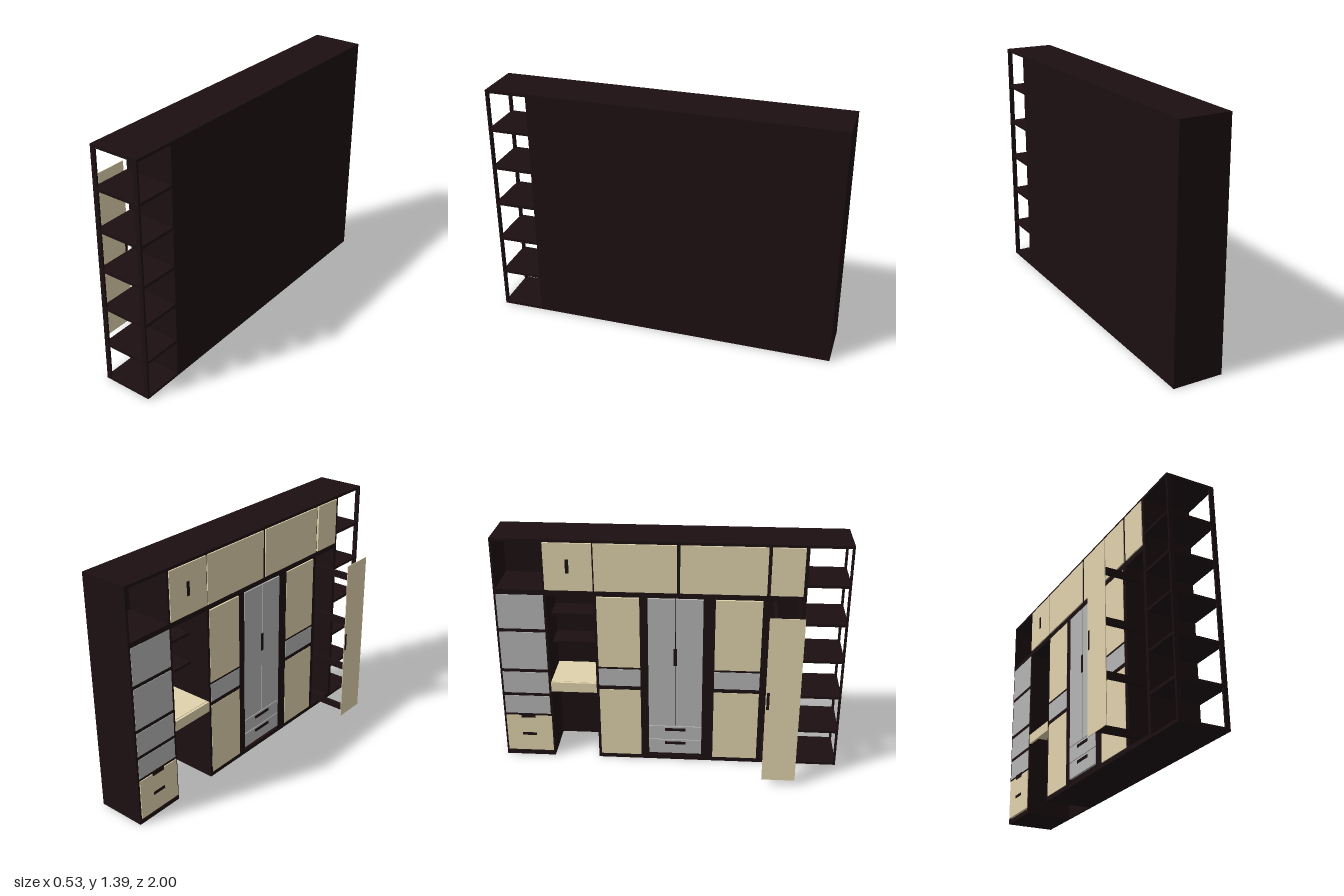
import * as THREE from 'three';

const dark = new THREE.MeshStandardMaterial({ color: 0x1c0f11 });
const beige = new THREE.MeshStandardMaterial({ color: 0xe0d2ac });
const grey = new THREE.MeshStandardMaterial({ color: 0xb4b4b4 });

const FRONT = -0.03, BACK = 0.262, H = 1.393;

export function createModel() {
  const root = new THREE.Group();
  root.name = 'wallUnit';

  // Box given by its limits on each axis
  const box = (name, mat, [x0, x1], [y0, y1], [z0, z1], parent = root) => {
    const m = new THREE.Mesh(new THREE.BoxGeometry(x1 - x0, y1 - y0, z1 - z0), mat);
    m.position.set((x0 + x1) / 2, (y0 + y1) / 2, (z0 + z1) / 2);
    m.name = name;
    parent.add(m);
    return m;
  };
  const depth = [FRONT, BACK];
  const section = (name) => {
    const g = new THREE.Group();
    g.name = name;
    root.add(g);
    return g;
  };

  // Carcass: back, top, floors and upright partitions
  const carcass = section('carcass');
  box('backPanel', dark, [BACK - 0.012, BACK], [0, H], [-1, 0.76], carcass);
  box('topPanel', dark, depth, [1.377, H], [-1, 1], carcass);
  box('towerFloor', dark, depth, [0, 0.025], [-1, -0.705], carcass);
  box('wardrobeFloor', dark, depth, [0, 0.025], [-0.43, 0.76], carcass);
  box('upperShelf', dark, depth, [1.062, 1.092], [-1, 0.76], carcass);
  const uprights = [[-1, -0.988], [-0.717, -0.703], [-0.432, -0.416],
    [-0.172, -0.125], [0.19, 0.258], [0.522, 0.55], [0.738, 0.76]];
  uprights.forEach((z, i) => {
    const full = i < 3 || i > 4;
    box('partition', dark, depth, [0, full ? H : 1.08], z, carcass);
  });
  box('upperDivider', dark, depth, [1.08, H], [0.04, 0.058], carcass);

  // Door or drawer front, standing slightly proud of the carcass
  const front = (name, mat, y, z, parent, proud = 0.002) =>
    box(name, mat, [FRONT - proud, FRONT + 0.012], y, z, parent);
  const handle = (y, z, parent, proud = 0.002) =>
    box('handle', dark, [FRONT - proud - 0.002, FRONT], y, z, parent);

  // Drawer tower with an open niche on top
  const tower = section('drawerTower');
  for (const y of [[0.85, 1.062], [0.59, 0.828], [0.43, 0.568], [0.29, 0.41]]) {
    front('greyFront', grey, y, [-0.988, -0.717], tower);
    box('towerShelf', dark, [FRONT, BACK - 0.012], [y[0] - 0.021, y[0]], [-0.99, -0.71], tower);
  }
  front('bottomDrawer', beige, [0.035, 0.275], [-0.988, -0.712], tower, 0.005);
  handle([0.14, 0.158], [-0.895, -0.81], tower, 0.005);
  handle([0.262, 0.29], [-0.895, -0.81], tower, 0.005);

  // Desk niche
  const desk = section('deskNiche');
  box('deskTop', beige, [FRONT + 0.015, BACK - 0.012], [0.49, 0.505], [-0.703, -0.432], desk);
  front('deskDrawer', beige, [0.445, 0.505], [-0.703, -0.432], desk);
  for (const y of [0.7, 0.88])
    box('nicheShelf', dark, [0.1, BACK - 0.012], [y, y + 0.015], [-0.703, -0.432], desk);

  // Upper row of doors
  const upper = section('upperCabinets');
  for (const z of [[-0.705, -0.432], [-0.424, 0.04], [0.058, 0.54], [0.56, 0.74]])
    front('upperDoor', beige, [1.095, 1.375], z, upper, 0.005);
  handle([1.2, 1.28], [-0.582, -0.562], upper, 0.005);

  // Two side wardrobes: door, grey band, door
  for (const z of [[-0.416, -0.172], [0.258, 0.522]]) {
    const w = section('sideWardrobe');
    front('upperWardrobeDoor', beige, [0.62, 1.057], z, w);
    front('greyBand', grey, [0.497, 0.607], z, w);
    front('lowerWardrobeDoor', beige, [0.027, 0.472], z, w);
    for (const y of [[0.472, 0.497], [0.607, 0.62]])
      box('wardrobeRail', dark, [FRONT, BACK - 0.012], y, z, w);
  }

  // Central wardrobe with double doors over two drawers
  const centre = section('centralWardrobe');
  for (const z of [[-0.125, 0.0305], [0.0345, 0.19]])
    front('mirrorDoor', grey, [0.235, 1.057], z, centre);
  for (const y of [[0.045, 0.138], [0.142, 0.231]]) {
    front('lowDrawer', grey, y, [-0.125, 0.19], centre);
    handle([y[1] - 0.03, y[1] - 0.012], [-0.03, 0.095], centre);
  }
  handle([0.64, 0.75], [0.022, 0.043], centre);
  box('wardrobeBacking', dark, [FRONT + 0.012, FRONT + 0.016], [0.025, 1.062], [-0.125, 0.19], centre);

  // Pulled-out rack: tall thin front carried on four rails
  const rack = section('pullOutRack');
  box('rackFront', beige, [-0.263, -0.259], [0.033, 1.06], [0.55, 0.742], rack);
  box('rackHandle', dark, [-0.2635, -0.258], [0.5, 0.61], [0.556, 0.572], rack);
  for (const y of [0.07, 0.365, 0.672, 0.972])
    box('rackRail', dark, [-0.259, BACK - 0.012], [y - 0.019, y + 0.019], [0.585, 0.605], rack);

  // Open end shelving with corner posts
  const open = section('openShelving');
  for (const y of [0.008, 0.23, 0.46, 0.692, 0.922, 1.155])
    box('openShelf', dark, depth, [y - 0.008, y + 0.008], [0.755, 1], open);
  for (const x of [FRONT, BACK - 0.026])
    box('cornerPost', dark, [x, x + 0.026], [0, H], [0.988, 1], open);

  return root;
}
